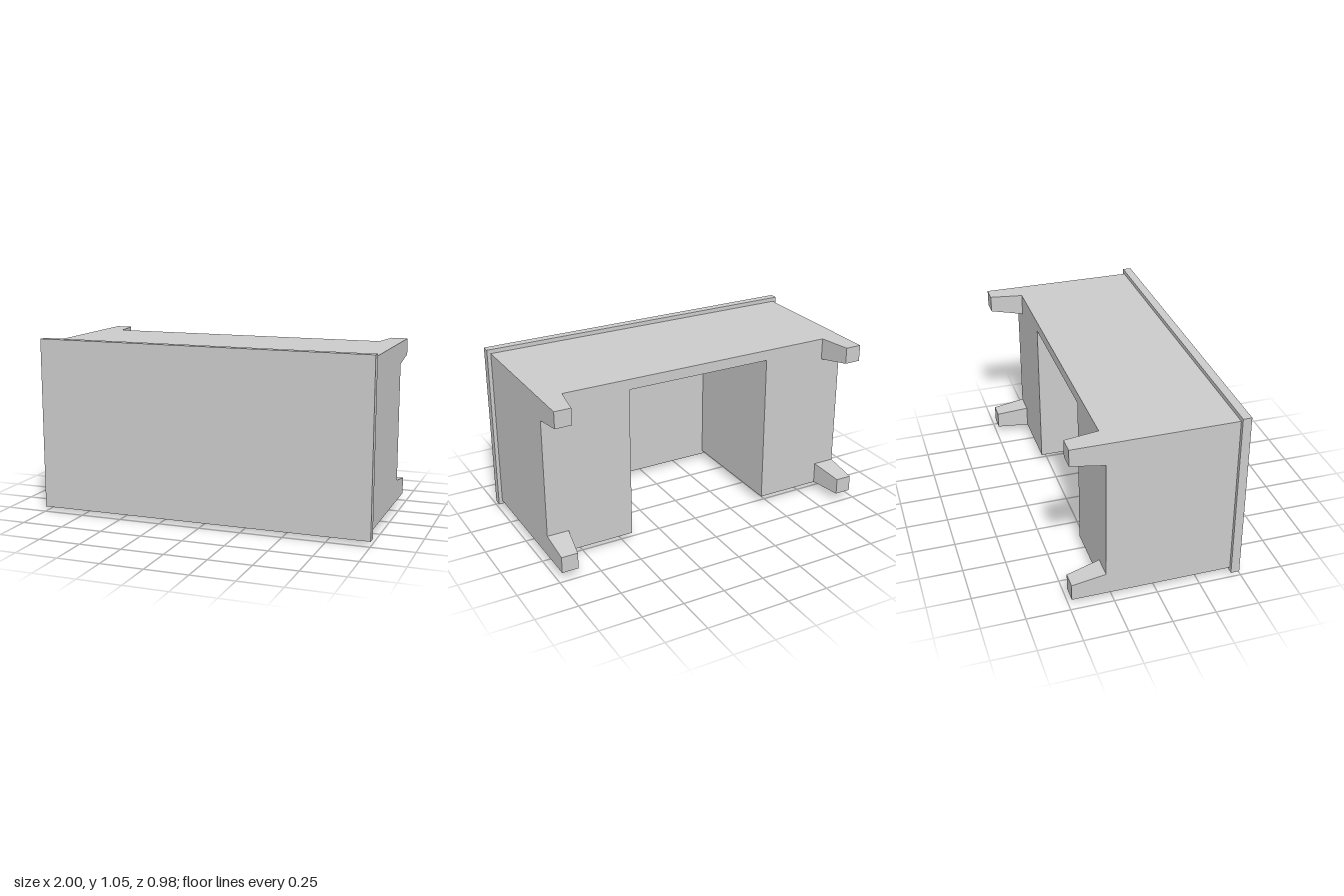
import * as THREE from 'three';

const material = new THREE.MeshStandardMaterial({ color: 0xcccccc, flatShading: true });

function addBox(parent, name, [x0, x1], [y0, y1], [z0, z1]) {
  const mesh = new THREE.Mesh(new THREE.BoxGeometry(x1 - x0, y1 - y0, z1 - z0), material);
  mesh.position.set((x0 + x1) / 2, (y0 + y1) / 2, (z0 + z1) / 2);
  mesh.name = name;
  parent.add(mesh);
  return mesh;
}

// Square leg whose outer corner stays straight while the inner faces taper
function addLeg(parent, name, sx, sy) {
  const geo = new THREE.BoxGeometry(1, 1, 1);
  const pos = geo.attributes.position;
  for (let i = 0; i < pos.count; i++) {
    const atFoot = pos.getZ(i) < 0;
    const width = atFoot ? 0.098 : 0.13;
    const x = pos.getX(i) * sx > 0 ? 0.978 : 0.978 - width;
    const inset = pos.getY(i) * sy > 0 ? 0 : width;
    const y = sy > 0 ? 1.022 - inset : 0.05 + inset;
    pos.setXYZ(i, sx * x, y, atFoot ? -0.487 : -0.292);
  }
  geo.computeVertexNormals();
  const leg = new THREE.Mesh(geo, material);
  leg.name = name;
  parent.add(leg);
}

// Raised front panel with a U-shaped pull near its upper edge
function addFront(parent, name, side, zTop, zBottom) {
  const group = new THREE.Group();
  group.name = name;
  const cx = side * 0.714;
  const z = zTop - 0.055;
  const depth = [z - 0.007, z + 0.007];
  addBox(group, 'panel', [cx - 0.239, cx + 0.239], [0.036, 0.05], [zBottom, zTop]);
  addBox(group, 'handleBar', [cx - 0.063, cx + 0.063], [0, 0.008], depth);
  for (const s of [-1, 1]) {
    const px = cx + s * 0.06;
    addBox(group, 'handlePost', [px - 0.003, px + 0.003], [0.008, 0.036], depth);
  }
  parent.add(group);
}

export function createModel() {
  const desk = new THREE.Group();
  desk.name = 'desk';

  // Desktop, standing on edge because the desk lies on its drawer side
  addBox(desk, 'desktop', [-1, 1], [0.028, 1.047], [0.44, 0.49]);

  // Two pedestals joined by the modesty panel, around an open knee space
  const outline = [
    [-0.978, 0.05], [-0.45, 0.05], [-0.45, 0.96], [0.45, 0.96],
    [0.45, 0.05], [0.978, 0.05], [0.978, 1.022], [-0.978, 1.022],
  ].map(([x, y]) => new THREE.Vector2(x, y));
  const body = new THREE.Mesh(
    new THREE.ExtrudeGeometry(new THREE.Shape(outline), { depth: 0.732, bevelEnabled: false }),
    material
  );
  body.position.z = -0.292;
  body.name = 'body';
  desk.add(body);

  // Legs
  for (const sx of [-1, 1]) {
    for (const sy of [-1, 1]) addLeg(desk, 'leg', sx, sy);
  }

  // Four drawers on the left pedestal
  for (let i = 0; i < 4; i++) {
    const top = 0.415 - i * 0.155;
    addFront(desk, 'drawer', 1, top, i < 3 ? top - 0.13 : -0.267);
  }

  // One drawer above a cupboard door on the right pedestal
  addFront(desk, 'drawer', -1, 0.415, 0.285);
  addFront(desk, 'cupboardDoor', -1, 0.26, -0.267);

  return desk;
}
